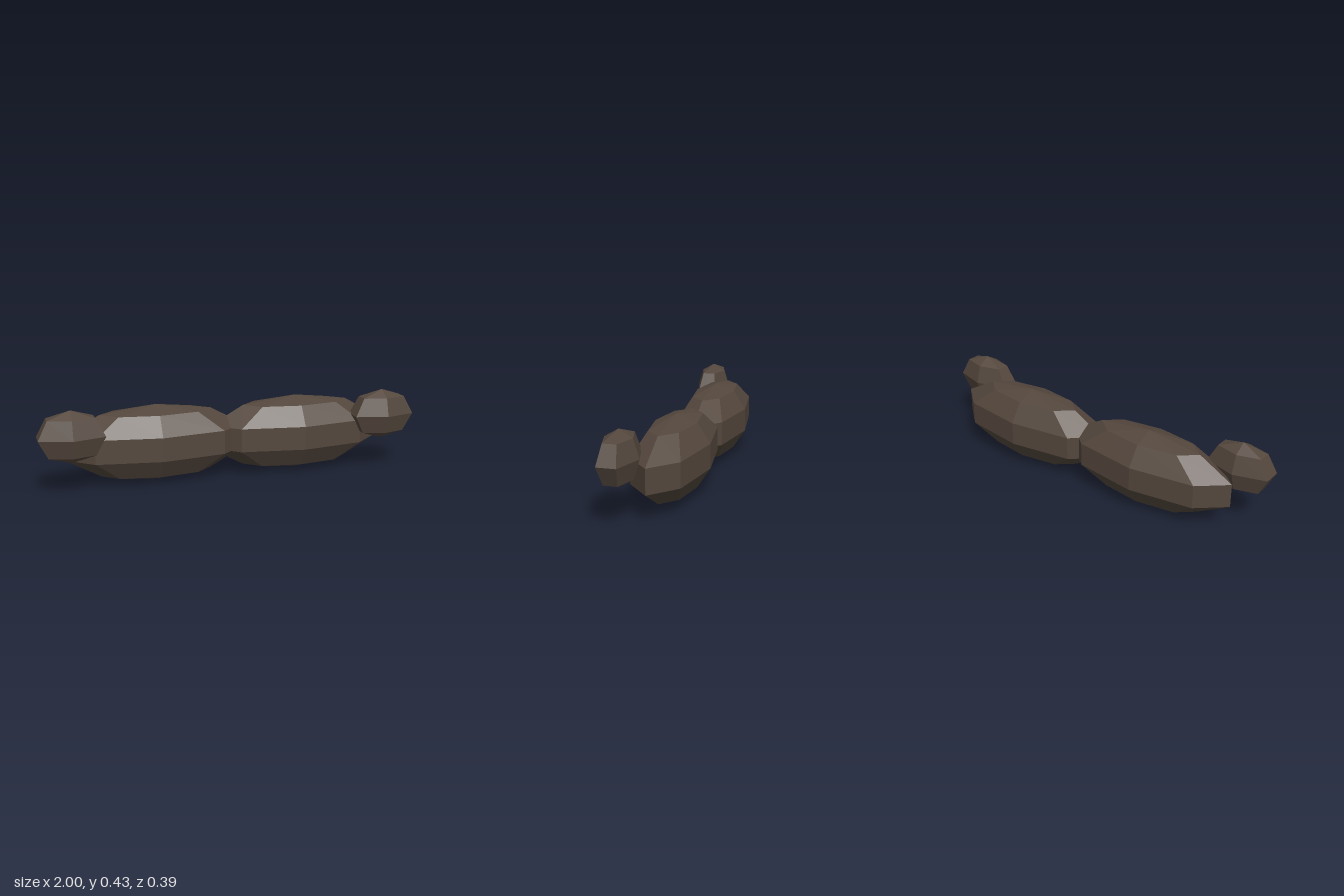
import * as THREE from 'three';

// Faceted ellipsoid with a given number of sides and bands
function lobe(name, sides, bands, turn, radii, position, material) {
  const geometry = new THREE.SphereGeometry(1, sides, bands);
  geometry.rotateY(turn);
  geometry.scale(...radii);
  const mesh = new THREE.Mesh(geometry, material);
  mesh.name = name;
  mesh.position.set(...position);
  return mesh;
}

export function createModel() {
  const model = new THREE.Group();
  model.name = 'moustache';
  const brown = new THREE.MeshStandardMaterial({ color: 0x54473d, flatShading: true });
  brown.name = 'dark brown hair';

  for (const [side, s] of [['left', 1], ['right', -1]]) {
    // Long main lobe, overlapping its twin at the middle
    model.add(lobe(side + 'Lobe', 8, 5, 0, [0.5, 0.201, 0.18], [s * 0.383, 0.204, -0.026], brown));
    // Small upturned tip, with a point of its hexagon facing forward
    model.add(lobe(side + 'Tip', 6, 4, Math.PI / 2, [0.191, 0.134, 0.0955], [s * 0.835, 0.299, 0.102], brown));
  }
  return model;
}
